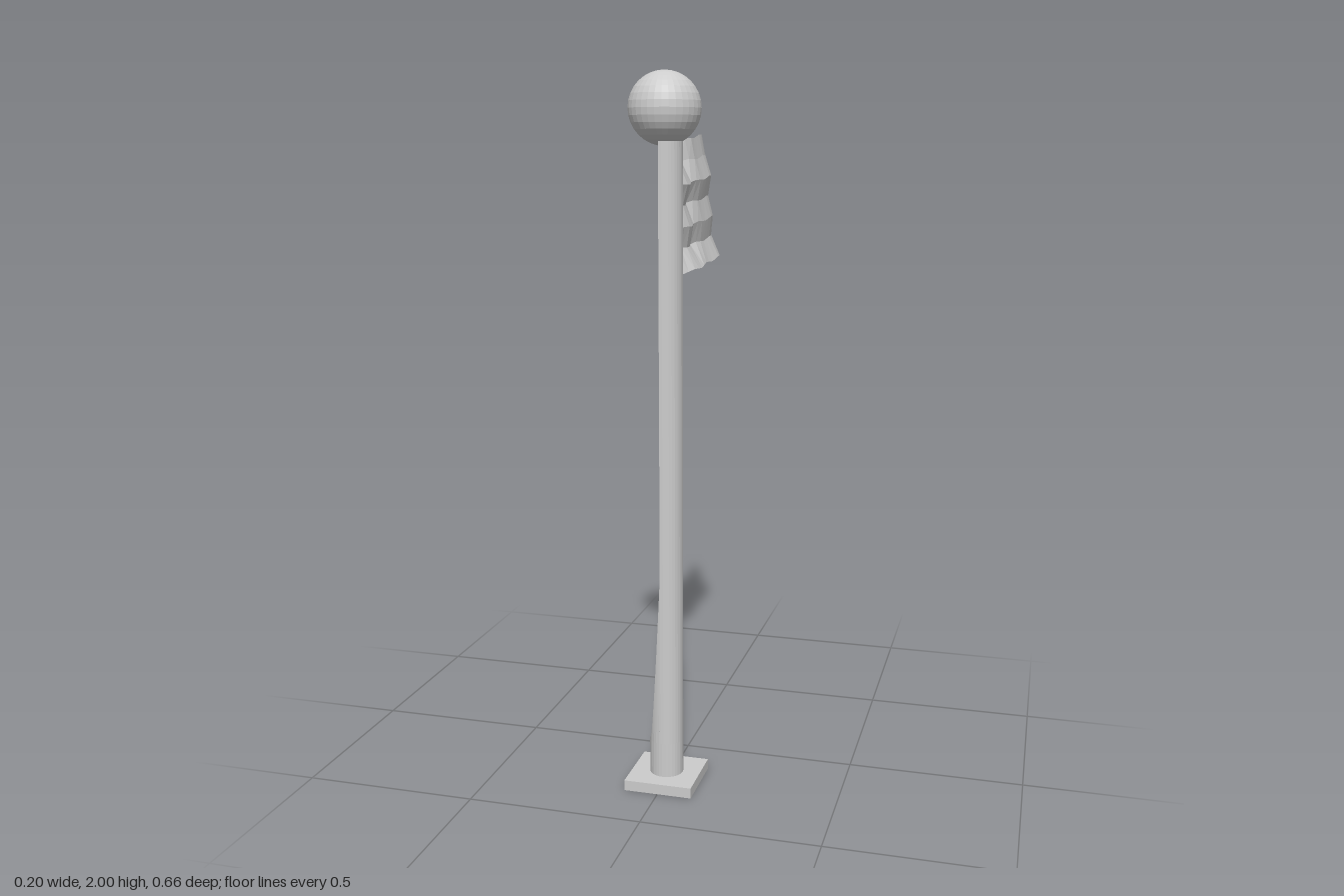
import * as THREE from 'three';

const POLE_Z = 0.235;
const R = 0.048;

const gray = new THREE.MeshStandardMaterial({ color: 0xcccccc, flatShading: true, side: THREE.DoubleSide });
gray.name = 'light gray';

function add(group, name, geometry, y, z = POLE_Z) {
  const mesh = new THREE.Mesh(geometry, gray);
  mesh.name = name;
  mesh.position.set(0, y, z);
  group.add(mesh);
}

// Linear lookup through evenly spaced values
function sample(values, t) {
  const f = t * (values.length - 1);
  const i = Math.min(Math.floor(f), values.length - 2);
  return values[i] + (values[i + 1] - values[i]) * (f - i);
}

// Rippled cloth: each column runs between a left and a right limit,
// and each row sits at its own fraction of that span
function clothGeometry() {
  const left = [-0.02, -0.03, -0.045, -0.055, -0.036, -0.054, -0.024, -0.025, -0.025, -0.03, -0.043];
  const right = [0.01, 0.012, 0.01, 0.028, 0.034, 0.03, 0.026, 0.03, 0.032, 0.025, 0.007];
  const rows = [0, 0.2, 0.55, 0.35, 0.62, 0.5, 1];
  const geometry = new THREE.PlaneGeometry(1, 1, 16, rows.length - 1);
  const p = geometry.attributes.position;
  for (let i = 0; i < p.count; i++) {
    const u = p.getX(i) + 0.5;
    const v = 0.5 - p.getY(i);
    const w = sample(rows, v);
    const x = THREE.MathUtils.lerp(sample(left, u), sample(right, u), w);
    const y = 1.8 + 0.045 * u - v * (0.35 + 0.01 * u) + 0.003 * Math.sin(u * 25);
    const z = 0.195 - u * (0.505 + 0.02 * v);
    p.setXYZ(i, x, y, z);
  }
  geometry.computeVertexNormals();
  return geometry;
}

export function createModel() {
  const model = new THREE.Group();
  model.name = 'flagpole';

  // Square foot and ball on top
  add(model, 'base', new THREE.BoxGeometry(0.196, 0.03, 0.196), 0.015);
  add(model, 'ball', new THREE.SphereGeometry(0.098, 32, 16), 1.902);

  // Full round foot of the pole, then an open half tube above it
  add(model, 'poleFoot', new THREE.CylinderGeometry(R, R, 0.1, 32, 1, true), 0.08);
  add(model, 'poleShaft', new THREE.CylinderGeometry(R, R, 1.7, 18, 1, true, -0.1, Math.PI + 0.2), 0.98);

  // Back quarter of the shaft, tapering upward
  const taper = new THREE.CylinderGeometry(R, R, 1, 10, 1, true, Math.PI, Math.PI / 2);
  const p = taper.attributes.position;
  for (let i = 0; i < p.count; i++) {
    p.setY(i, p.getY(i) > 0 ? 0.13 + 1.25 * (1 + p.getX(i) / R) : 0.13);
  }
  taper.computeVertexNormals();
  add(model, 'poleTaper', taper, 0);

  add(model, 'flag', clothGeometry(), 0, 0);
  return model;
}
